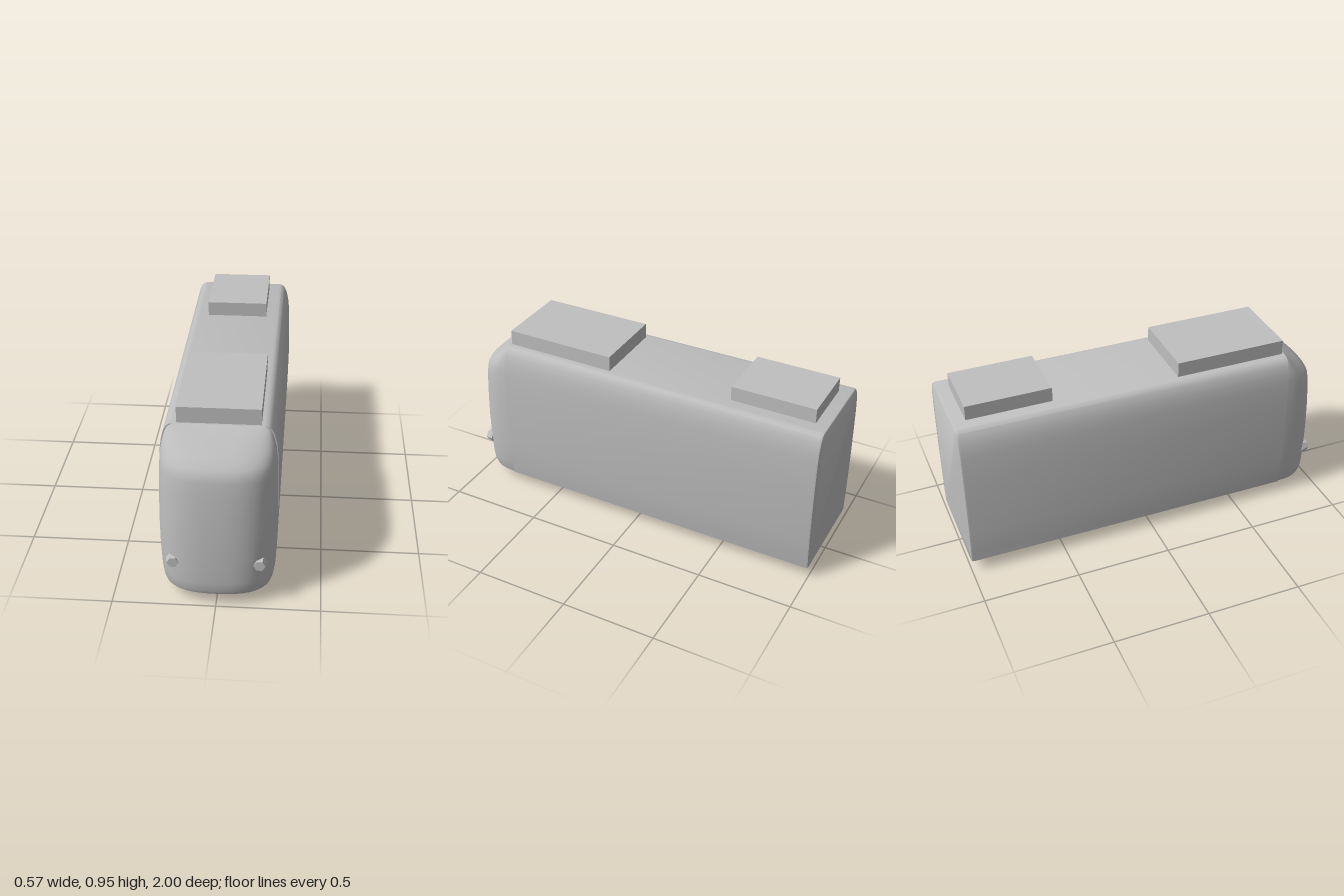
import * as THREE from 'three';
import { toCreasedNormals } from 'three/addons/utils/BufferGeometryUtils.js';

const FLOOR = 0.065, ROOF = 0.866, NOSE_Z = 0.775;

// Skin a list of equal-length rings of [x, y, z]; optional end caps for convex rings.
function loft(rings, { closed = true, capStart = false, capEnd = false, crease = 0.6 } = {}) {
  const n = rings[0].length, index = [];
  const span = closed ? n : n - 1;
  for (let r = 0; r < rings.length - 1; r++) {
    for (let i = 0; i < span; i++) {
      const a = r * n + i, b = r * n + (i + 1) % n;
      index.push(a, b, b + n, a, b + n, a + n);
    }
  }
  const last = (rings.length - 1) * n;
  for (let i = 1; i < n - 1; i++) {
    if (capStart) index.push(0, i + 1, i);
    if (capEnd) index.push(last, last + i, last + i + 1);
  }
  const g = new THREE.BufferGeometry();
  g.setAttribute('position', new THREE.Float32BufferAttribute(rings.flat(2), 3));
  g.setIndex(index);
  return toCreasedNormals(g, crease);
}

// Half cross-section of the carriage, floor to roof: [half width, y]
const section = [
  [0.268, FLOOR], [0.276, 0.13], [0.281, 0.25], [0.284, 0.42], [0.282, 0.58], [0.277, 0.72],
  [0.270, 0.78], [0.259, 0.825], [0.245, 0.852], [0.228, 0.864], [0.21, ROOF],
];

function bodyGeometry() {
  const outline = [...section, ...section.map(([x, y]) => [-x, y]).reverse()];
  const ring = (z, inset) => outline.map(([x, y]) => [
    x * (1 - inset / 0.28), FLOOR + inset + (y - FLOOR) * (1 - 2 * inset / 0.8), z]);
  return loft([ring(-1, 0.009), ring(-0.996, 0.003), ring(-0.988, 0), ring(NOSE_Z, 0)],
    { capStart: true, capEnd: true });
}

// Nose: stacked U-shaped plans, each [y, half width, front z]
function noseGeometry() {
  const levels = [
    [FLOOR, 0.262, 0.988], [0.085, 0.268, 0.996], [0.13, 0.275, 0.999], [0.25, 0.281, 1],
    [0.38, 0.283, 0.998], [0.5, 0.282, 0.993], [0.6, 0.28, 0.986], [0.67, 0.277, 0.979],
    [0.705, 0.274, 0.972], [0.73, 0.272, 0.956], [0.76, 0.269, 0.925], [0.79, 0.262, 0.887],
    [0.825, 0.251, 0.84], [0.85, 0.238, 0.804], [ROOF, 0.215, 0.778],
  ];
  const steps = 28, power = 2 / 2.6;
  const rings = levels.map(([y, w, zf]) => Array.from({ length: steps + 1 }, (_, i) => {
    const t = Math.PI * (1 - i / steps), c = Math.cos(t);
    return [Math.sign(c) * w * Math.abs(c) ** power, y,
      NOSE_Z + (zf - NOSE_Z) * Math.abs(Math.sin(t)) ** power];
  }));
  return loft(rings, { closed: false, capStart: true, capEnd: true, crease: 0.8 });
}

export function createModel() {
  const model = new THREE.Group();
  model.name = 'railCar';
  const grey = new THREE.MeshStandardMaterial({ color: 0xbfbfbf });
  grey.name = 'plainGrey';

  const add = (name, geometry, x = 0, y = 0, z = 0) => {
    const mesh = new THREE.Mesh(geometry, grey);
    mesh.name = name;
    mesh.position.set(x, y, z);
    model.add(mesh);
    return mesh;
  };

  add('body', bodyGeometry());
  add('nose', noseGeometry());

  // Roof equipment
  add('frontRoofBox', new THREE.BoxGeometry(0.394, 0.081, 0.595), 0, 0.9055, 0.4675);
  add('rearRoofBox', new THREE.BoxGeometry(0.323, 0.08, 0.44), -0.002, 0.902, -0.71);

  // Wheels and headlights on both sides
  const wheel = new THREE.CylinderGeometry(0.07, 0.07, 0.026, 8).rotateZ(Math.PI / 2);
  const lamp = toCreasedNormals(
    new THREE.CylinderGeometry(0.028, 0.037, 0.04, 6).rotateY(Math.PI / 6).rotateX(Math.PI / 2), 0.3);
  for (const [side, label] of [[1, 'left'], [-1, 'right']]) {
    add(label + 'FrontWheel', wheel, side * 0.185, 0.07, 0.755);
    add(label + 'RearWheel', wheel, side * 0.185, 0.07, 0.31);
    add(label + 'Headlight', lamp, side * 0.205, 0.225, 0.953);
  }
  return model;
}
